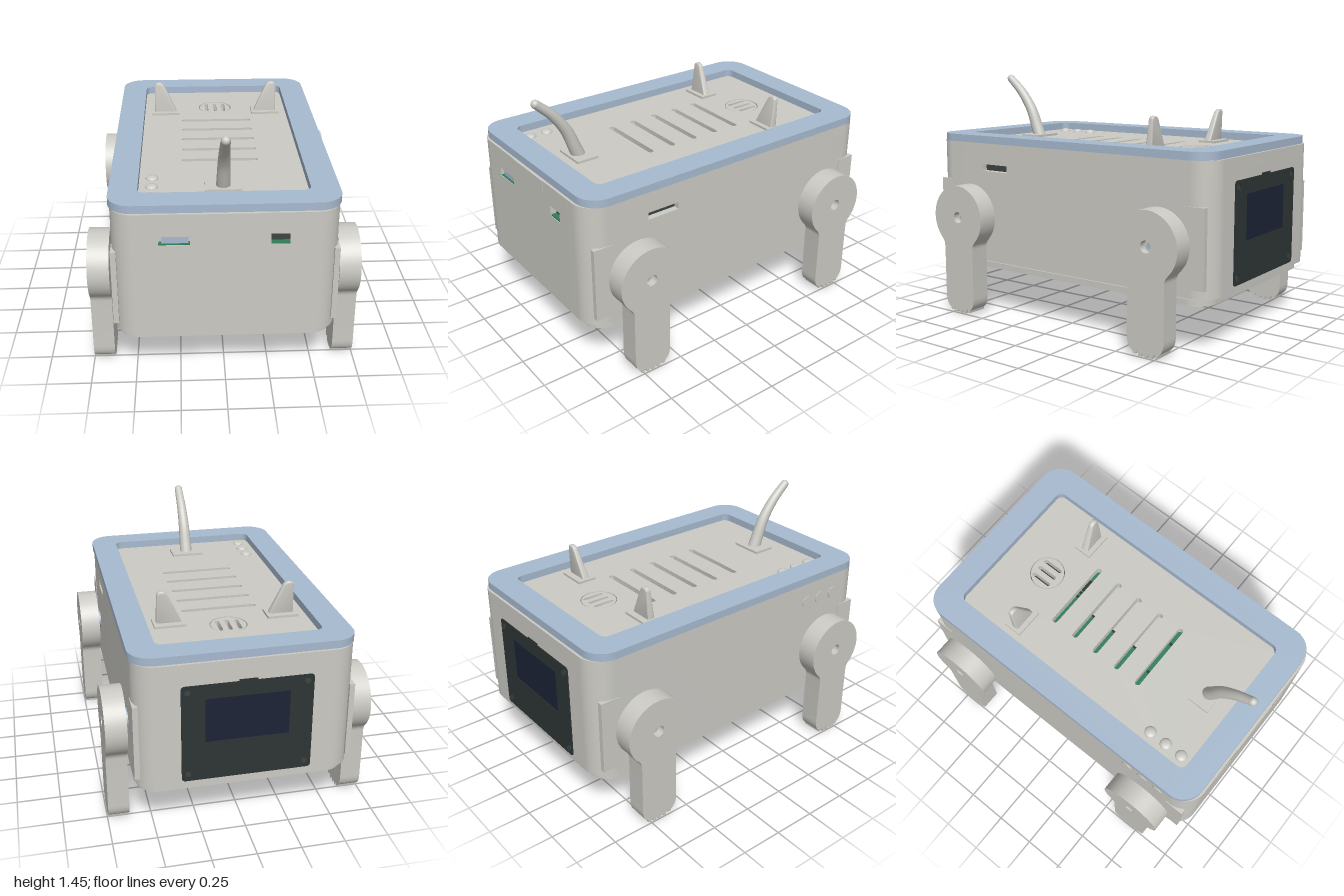
import * as THREE from 'three';
import { toCreasedNormals } from 'three/addons/utils/BufferGeometryUtils.js';

const mat = (name, color) => Object.assign(new THREE.MeshStandardMaterial({ color }), { name });
const shell = mat('shell grey', 0xcbcac4);
const blue = mat('soft blue', 0xa7bacf);
const charcoal = mat('charcoal', 0x2e3535);
const slate = mat('dark slate', 0x3c4444);
const navy = mat('screen navy', 0x1c2336);
const green = mat('board green', 0x2f7d58);

const X = 0.605, Z = 0.997, R = 0.13;
const PANEL = 1.045, CORE = 0.985;

// Rounded rectangle; also used for slots and holes
function rect(cx, cy, w, h, r = 0, Type = THREE.Shape) {
  const s = new Type(), a = w / 2, b = h / 2;
  s.moveTo(cx - a + r, cy - b);
  const corner = (x, y, t) => (r ? s.absarc(x, y, r, t, t + Math.PI / 2) : s.lineTo(x, y));
  corner(cx + a - r, cy - b + r, -Math.PI / 2);
  corner(cx + a - r, cy + b - r, 0);
  corner(cx - a + r, cy + b - r, Math.PI / 2);
  corner(cx - a + r, cy - b + r, Math.PI);
  s.closePath();
  return s;
}
const disc = (cx, cy, r, Type = THREE.Path) => new Type().absarc(cx, cy, r, 0, Math.PI * 2);
const withHoles = (s, holes) => { s.holes.push(...holes); return s; };

function extrude(shape, depth) {
  return toCreasedNormals(new THREE.ExtrudeGeometry(shape, { depth, bevelEnabled: false, curveSegments: 14 }), 0.6);
}
// Flat slab lying in the ground plane (shape y is -z)
const slab = (shape, y0, y1) => extrude(shape, y1 - y0).rotateX(-Math.PI / 2).translate(0, y0, 0);

export function createModel() {
  const g = new THREE.Group();
  const add = (name, geo, m, parent = g) => {
    const mesh = new THREE.Mesh(geo, m);
    mesh.name = name;
    parent.add(mesh);
    return mesh;
  };
  const box = (name, m, x0, x1, y0, y1, z0, z1) =>
    add(name, new THREE.BoxGeometry(x1 - x0, y1 - y0, z1 - z0)
      .translate((x0 + x1) / 2, (y0 + y1) / 2, (z0 + z1) / 2), m);

  // Body footprint, notched where the pierced wall panels fit
  const footprint = () => {
    const s = new THREE.Shape();
    s.moveTo(-X + R, -Z);
    [[-0.4, -Z], [-0.4, -Z + 0.04], [0.4, -Z + 0.04], [0.4, -Z]].forEach(p => s.lineTo(...p));
    s.absarc(X - R, -Z + R, R, -Math.PI / 2, 0);
    [[X, -0.67], [X - 0.04, -0.67], [X - 0.04, -0.35], [X, -0.35]].forEach(p => s.lineTo(...p));
    s.absarc(X - R, Z - R, R, 0, Math.PI / 2);
    s.absarc(-X + R, Z - R, R, Math.PI / 2, Math.PI);
    s.absarc(-X + R, -Z + R, R, Math.PI, Math.PI * 1.5);
    return s;
  };
  add('body', slab(footprint(), 0.32, CORE), shell);
  add('bodyCollar', slab(withHoles(footprint(), [rect(0, 0, 1.1, 1.86, 0.08, THREE.Path)]), CORE, 1.05), shell);

  // Front wall with two ports
  add('frontWall', extrude(withHoles(rect(0, 0.685, 0.8, 0.73), [
    rect(-0.27, 0.895, 0.165, 0.05, 0, THREE.Path), rect(0.285, 0.897, 0.1, 0.062, 0, THREE.Path)]), 0.04)
    .translate(0, 0, Z - 0.04), shell);
  box('leftPortPlug', blue, -0.338, -0.195, 0.87, 0.92, Z - 0.04, Z - 0.015);
  box('rightPortBack', slate, 0.235, 0.335, 0.866, 0.928, Z - 0.04, Z - 0.036);
  box('rightPortBoard', green, 0.235, 0.335, 0.866, 0.873, Z - 0.036, Z - 0.004);
  box('leftPortBoard', green, -0.352, -0.188, 0.87, 0.874, Z - 0.036, Z - 0.004);
  box('frontTab', shell, -0.168, 0.168, 0.99, 1.05, Z - 0.02, 1);

  // Side wall with one slot
  add('sideWall', extrude(withHoles(rect(-0.51, 0.685, 0.32, 0.73),
    [rect(-0.51, 0.9, 0.2, 0.042, 0, THREE.Path)]), 0.04)
    .rotateY(Math.PI / 2).translate(X - 0.04, 0, 0), shell);
  box('sideSlotBack', slate, X - 0.04, X - 0.036, 0.88, 0.92, 0.41, 0.61);

  // Raised pads at the four upright corners
  for (const sx of [-1, 1]) for (const sz of [-1, 1])
    add('cornerPad', new THREE.BoxGeometry(0.03, 0.44, 0.12).translate(sx * 0.594, 0.59, sz * 0.9), shell);

  // Blue rim around the lid
  add('rim', slab(withHoles(rect(0, 0, 1.23, 1.965, 0.13),
    [rect(0, 0, 0.92, 1.66, 0.04, THREE.Path)]), 1.05, 1.095), blue);

  // Lid panel with vents and a round opening for the speaker
  const vents = [-0.315, -0.16, -0.005, 0.155, 0.31];
  add('lidPanel', slab(withHoles(rect(0, 0, 1.1, 1.86, 0.08), [
    ...vents.map(z => rect(0, -z, 0.44, 0.034, 0.016, THREE.Path)), disc(0, 0.55, 0.106)]), CORE, PANEL), shell);
  vents.forEach((z, i) => {
    const full = i === 0 || i === 4, end = full ? 0.22 : -0.035;
    box('ventBoard', green, -0.22, end, CORE, CORE + 0.006, z - 0.017, z + 0.017);
    if (!full) box('ventBoardEdge', charcoal, end, end + 0.012, CORE, CORE + 0.008, z - 0.017, z + 0.017);
  });
  box('ventChip', charcoal, 0.06, 0.14, CORE, CORE + 0.012, -0.332, -0.298);
  for (const x of [0.005, 0.035])
    box('ventPin', charcoal, x, x + 0.014, CORE, CORE + 0.012, -0.332, -0.298);
  for (const x of [-0.1, 0.12])
    box('ventDot', charcoal, x - 0.008, x + 0.008, CORE, CORE + 0.01, 0.3, 0.316);

  // Speaker grille
  add('speakerGrille', slab(withHoles(disc(0, 0.55, 0.101, THREE.Shape),
    [-0.055, 0, 0.055].map(x => rect(x, 0.553, 0.022, 0.13, 0.0105, THREE.Path))), CORE + 0.01, PANEL - 0.002), shell);
  add('speakerBack', new THREE.CylinderGeometry(0.105, 0.105, 0.008, 32).translate(0, CORE + 0.005, -0.55), slate);

  // Lid buttons and matching discs on the side wall
  for (const z of [0.55, 0.66, 0.77]) {
    add('button', new THREE.SphereGeometry(0.035, 24, 8, 0, Math.PI * 2, 0, Math.PI / 2)
      .scale(1, 0.5, 1).translate(-0.39, PANEL, z), shell);
    add('sideDisc', new THREE.CylinderGeometry(0.036, 0.036, 0.01, 24)
      .rotateZ(Math.PI / 2).translate(-X, 0.92, z), shell);
  }

  // Ears on pads: thin tapered blades with rounded tips
  const earShape = new THREE.Shape();
  earShape.moveTo(0.248, PANEL);
  earShape.lineTo(0.396, PANEL);
  earShape.lineTo(0.392, 1.225);
  earShape.quadraticCurveTo(0.39, 1.245, 0.37, 1.247);
  earShape.quadraticCurveTo(0.345, 1.248, 0.332, 1.228);
  earShape.closePath();
  let earGeo = new THREE.ExtrudeGeometry(earShape, {
    depth: 0.026, bevelThickness: 0.01, bevelSize: 0.008, bevelOffset: -0.008, bevelSegments: 3 });
  const ep = earGeo.attributes.position;
  for (let i = 0; i < ep.count; i++) {
    const t = (ep.getY(i) - PANEL) / 0.2;
    ep.setZ(i, (ep.getZ(i) - 0.013) * (1 - 0.35 * t) - 0.467 - 0.016 * t);
  }
  earGeo = toCreasedNormals(earGeo, 0.7);
  for (const s of [1, -1]) {
    const ear = new THREE.Group();
    ear.name = s > 0 ? 'leftEar' : 'rightEar';
    add('earBlade', earGeo, shell, ear);
    add('earPad', new THREE.BoxGeometry(0.178, 0.016, 0.115).translate(0.325, PANEL + 0.006, -0.473), shell, ear);
    ear.scale.x = s;
    g.add(ear);
  }

  // Curved tapering horn on its pad
  const path = new THREE.CatmullRomCurve3([[1.03, 0.665], [1.1, 0.692], [1.22, 0.742], [1.33, 0.822], [1.42, 0.92]]
    .map(([y, z]) => new THREE.Vector3(0, y, z)));
  const N = 32, M = 20, horn = new THREE.TubeGeometry(path, N, 1, M);
  const hp = horn.attributes.position, v = new THREE.Vector3();
  for (let i = 0; i < hp.count; i++) {
    const t = Math.floor(i / (M + 1)) / N, c = path.getPointAt(t);
    v.fromBufferAttribute(hp, i).sub(c).multiplyScalar(0.041 - 0.016 * t).add(c);
    hp.setXYZ(i, v.x, v.y, v.z);
  }
  add('horn', horn, shell);
  add('hornTip', new THREE.SphereGeometry(0.025, 20, 14).translate(0, 1.42, 0.92), shell);
  box('hornPad', shell, -0.1, 0.1, PANEL - 0.002, PANEL + 0.014, 0.6, 0.735);

  // Display on the back wall
  const screws = [-0.325, 0.325].flatMap(x => [0.39, 0.885].map(y => [x, y]));
  add('displayFrame', extrude(withHoles(rect(0, 0.637, 0.72, 0.575, 0.02), [
    rect(0, 0.71, 0.46, 0.26, 0, THREE.Path), ...screws.map(([x, y]) => disc(x, y, 0.026))]), 0.008)
    .translate(0, 0, -1.002), charcoal);
  box('displayTab', charcoal, -0.05, 0.05, 0.92, 0.935, -1.001, -0.99);
  box('displayGlass', navy, -0.23, 0.23, 0.58, 0.84, -0.999, -0.992);
  for (const [x, y] of screws) {
    add('screwRecess', new THREE.CylinderGeometry(0.027, 0.027, 0.006, 20)
      .rotateX(Math.PI / 2).translate(x, y, -0.996), charcoal);
    add('screwHead', new THREE.CylinderGeometry(0.016, 0.016, 0.006, 20)
      .rotateX(Math.PI / 2).translate(x, y, -0.998), slate);
  }

  // Base plate with vents and screw holes
  const baseHoles = [0.02, -0.075, -0.17, -0.265].map(z => rect(0, -z, 0.96, 0.045, 0.02, THREE.Path));
  for (const x of [-0.315, 0.315]) for (const z of [-0.74, -0.465, 0.79]) baseHoles.push(disc(x, -z, 0.034));
  add('basePlate', slab(withHoles(rect(0, 0, 1.18, 1.92, 0.12), baseHoles), 0.275, 0.312), shell);
  add('baseSpacer', slab(withHoles(rect(0, 0, 1.14, 1.88, 0.11), baseHoles), 0.312, 0.32), shell);

  // Leg: round hub, straight shank, toothed foot
  const leg = new THREE.Shape();
  const hub = 0.195, w = 0.117, a = Math.asin(0.137 / hub);
  leg.moveTo(-w, 0.11);
  leg.quadraticCurveTo(-w, 0.05, -0.085, 0.03);
  for (let i = 0; i < 5; i++) {
    const u = -0.08 + i * 0.035, low = 0.9 * Math.pow(u + 0.01, 2) * 3;
    leg.lineTo(u, low + 0.016);
    leg.lineTo(u + 0.003, low);
    leg.lineTo(u + 0.021, low);
    leg.lineTo(u + 0.024, low + 0.016);
  }
  leg.lineTo(0.085, 0.03);
  leg.quadraticCurveTo(w, 0.05, w, 0.11);
  leg.lineTo(w, 0.415);
  leg.quadraticCurveTo(w, 0.44, Math.sin(a) * hub, 0.6 - Math.cos(a) * hub);
  leg.absarc(0, 0.6, hub, -Math.PI / 2 + a, Math.PI * 1.5 - a);
  leg.quadraticCurveTo(-w, 0.44, -w, 0.415);
  leg.closePath();
  leg.holes.push(disc(0, 0.6, 0.034));
  const legGeo = toCreasedNormals(new THREE.ExtrudeGeometry(leg, { depth: 0.12, bevelEnabled: false, curveSegments: 32 }), 0.6)
    .rotateY(Math.PI / 2).translate(0.627, 0, 0);
  const axle = (r, x0, x1) => new THREE.CylinderGeometry(r, r, x1 - x0, 28)
    .rotateZ(Math.PI / 2).translate((x0 + x1) / 2, 0.6, 0);
  for (const s of [1, -1]) for (const z of [0.69, -0.69]) {
    const group = new THREE.Group();
    group.name = (z > 0 ? 'front' : 'back') + (s > 0 ? 'LeftLeg' : 'RightLeg');
    add('legPlate', legGeo, shell, group);
    add('motorBoss', axle(0.054, 0.59, 0.63), blue, group);
    add('axleSleeve', axle(0.034, 0.62, 0.705), shell, group);
    add('axleTip', axle(0.018, 0.62, 0.71), blue, group);
    group.position.z = z;
    group.scale.x = s;
    g.add(group);
  }
  return g;
}
